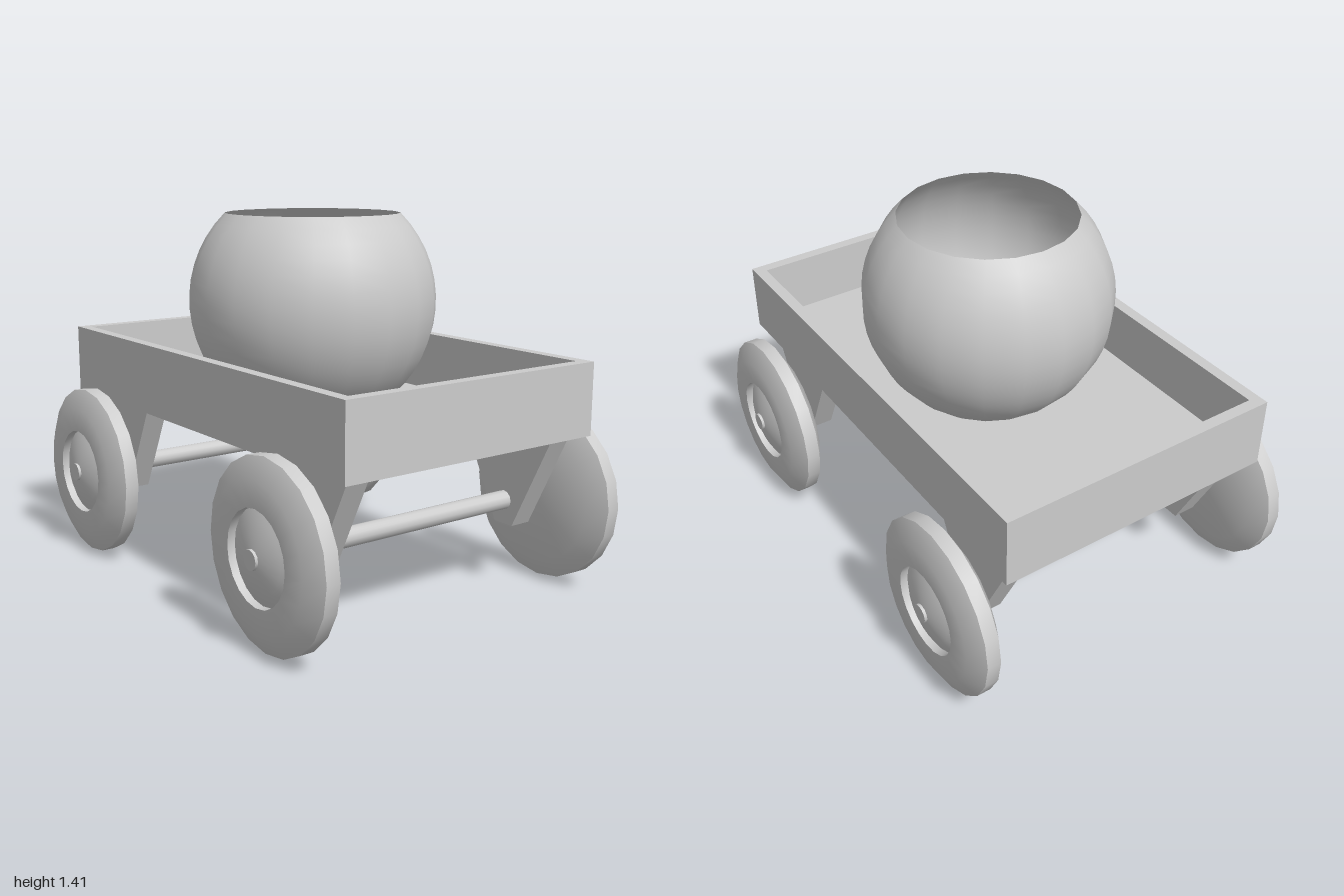
import * as THREE from 'three';
import { toCreasedNormals } from 'three/addons/utils/BufferGeometryUtils.js';

const grey = new THREE.MeshStandardMaterial({ color: 0xcccccc });
const greyThin = new THREE.MeshStandardMaterial({ color: 0xcccccc, side: THREE.DoubleSide });

function add(parent, name, geometry, x = 0, y = 0, z = 0, material = grey) {
  const mesh = new THREE.Mesh(geometry, material);
  mesh.name = name;
  mesh.position.set(x, y, z);
  parent.add(mesh);
  return mesh;
}

const lathe = (points, segments) =>
  toCreasedNormals(new THREE.LatheGeometry(points.map(([r, h]) => new THREE.Vector2(r, h)), segments), 0.6);

function rectangle(PathType, halfX, halfY) {
  return new PathType([[-1, -1], [1, -1], [1, 1], [-1, 1]]
    .map(([x, y]) => new THREE.Vector2(x * halfX, y * halfY)));
}

export function createModel() {
  const cart = new THREE.Group();
  cart.name = 'cart';

  // Open tray: floor with a rectangular wall standing around it
  const halfX = 0.945, halfZ = 0.565, wall = 0.045, bottom = 0.625, floorTop = 0.67;
  const frame = rectangle(THREE.Shape, halfX, halfZ);
  frame.holes.push(rectangle(THREE.Path, halfX - wall, halfZ - wall));
  const walls = new THREE.ExtrudeGeometry(frame, { depth: 0.9 - bottom, bevelEnabled: false });
  walls.rotateX(-Math.PI / 2);
  add(cart, 'trayWalls', walls, 0, bottom, 0);
  add(cart, 'trayFloor',
    new THREE.BoxGeometry(2 * (halfX - wall), floorTop - bottom, 2 * (halfZ - wall)),
    0, (bottom + floorTop) / 2, 0);

  // Round pot: a thin sphere cut flat at base and rim
  const potRadius = 0.485, potCentre = 1.064, potBase = floorTop + 0.004, potRim = 1.41;
  const a0 = Math.asin((potBase - potCentre) / potRadius);
  const a1 = Math.asin((potRim - potCentre) / potRadius);
  const potProfile = [[0, potBase]];
  for (let i = 0; i <= 14; i++) {
    const a = a0 + (a1 - a0) * i / 14;
    potProfile.push([potRadius * Math.cos(a), potCentre + potRadius * Math.sin(a)]);
  }
  add(cart, 'pot', lathe(potProfile, 20), 0, 0, 0, greyThin);

  // Wheel: bevelled tyre with a domed hub in a shallow recess, height along the axle
  const wheel = lathe([
    [0, -0.065], [0.265, -0.065], [0.34, -0.027], [0.34, 0.027], [0.265, 0.065],
    [0.17, 0.065], [0.17, 0.035], [0.13, 0.054], [0.08, 0.068], [0.04, 0.076], [0, 0.079],
  ], 20);
  wheel.rotateX(Math.PI / 2);

  // Axle rod
  const axle = toCreasedNormals(new THREE.CylinderGeometry(0.036, 0.036, 1.47, 12), 0.6);
  axle.rotateX(Math.PI / 2);

  // Tapered bracket hanging from the tray
  const bracketShape = new THREE.Shape([[-0.235, 0.63], [-0.045, 0.245], [0.045, 0.245], [0.235, 0.63]]
    .map(([x, y]) => new THREE.Vector2(x, y)));
  const bracket = new THREE.ExtrudeGeometry(bracketShape, { depth: 0.09, bevelEnabled: false });
  bracket.translate(0, 0, -0.045);

  for (const x of [-0.66, 0.66]) {
    add(cart, 'axle', axle, x, 0.34, 0);
    for (const side of [-1, 1]) {
      add(cart, 'axleBracket', bracket, x, 0, side * 0.467);
      const w = add(cart, 'wheel', wheel, x, 0.34, side * 0.648);
      if (side < 0) w.rotation.y = Math.PI;
    }
  }
  return cart;
}
